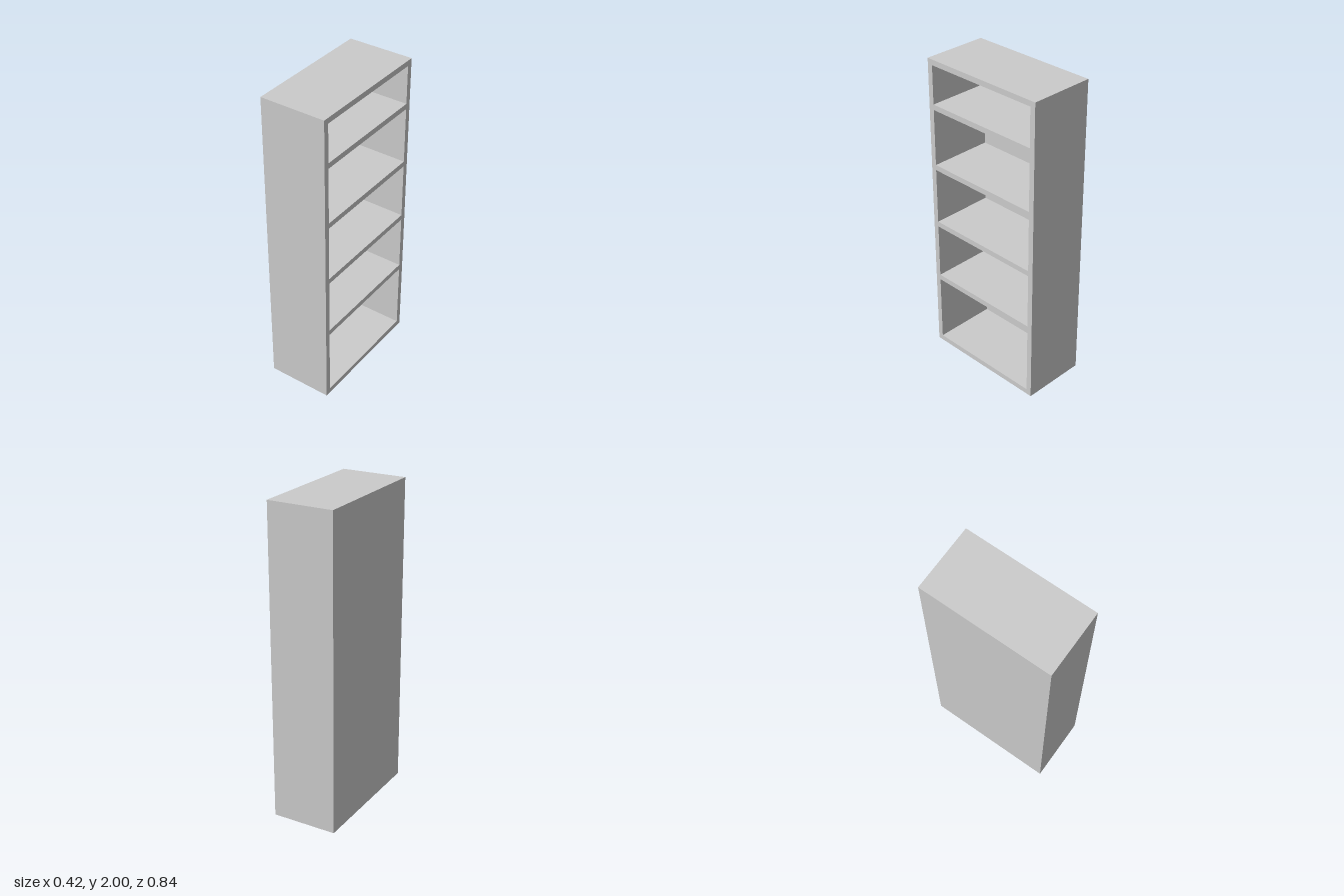
import * as THREE from 'three';

// Open bookcase whose shelves face +x
export function createModel() {
  const group = new THREE.Group();
  const material = new THREE.MeshStandardMaterial({ color: 0xcccccc });
  const height = 2, width = 0.84, depth = 0.42, board = 0.035, backing = 0.01;
  const inner = width - 2 * board;
  const boardDepth = depth - backing;
  const boardX = backing / 2;

  const addBoard = (name, sx, sy, sz, x, y, z) => {
    const mesh = new THREE.Mesh(new THREE.BoxGeometry(sx, sy, sz), material);
    mesh.name = name;
    mesh.position.set(x, y, z);
    group.add(mesh);
  };

  // Thin back panel
  addBoard('backPanel', backing, height, width, (backing - depth) / 2, height / 2, 0);

  // Upright sides
  for (const s of [-1, 1]) {
    addBoard(s > 0 ? 'frontSidePanel' : 'rearSidePanel',
      boardDepth, height, board, boardX, height / 2, s * (width - board) / 2);
  }

  // Top and bottom boards
  addBoard('topBoard', boardDepth, board, inner, boardX, height - board / 2, 0);
  addBoard('bottomBoard', boardDepth, board, inner, boardX, board / 2, 0);

  // Evenly spaced shelves
  for (let i = 0; i < 4; i++) {
    addBoard(`shelf${i + 1}`, boardDepth, board, inner, boardX, 0.505 + 0.399 * i, 0);
  }
  return group;
}
